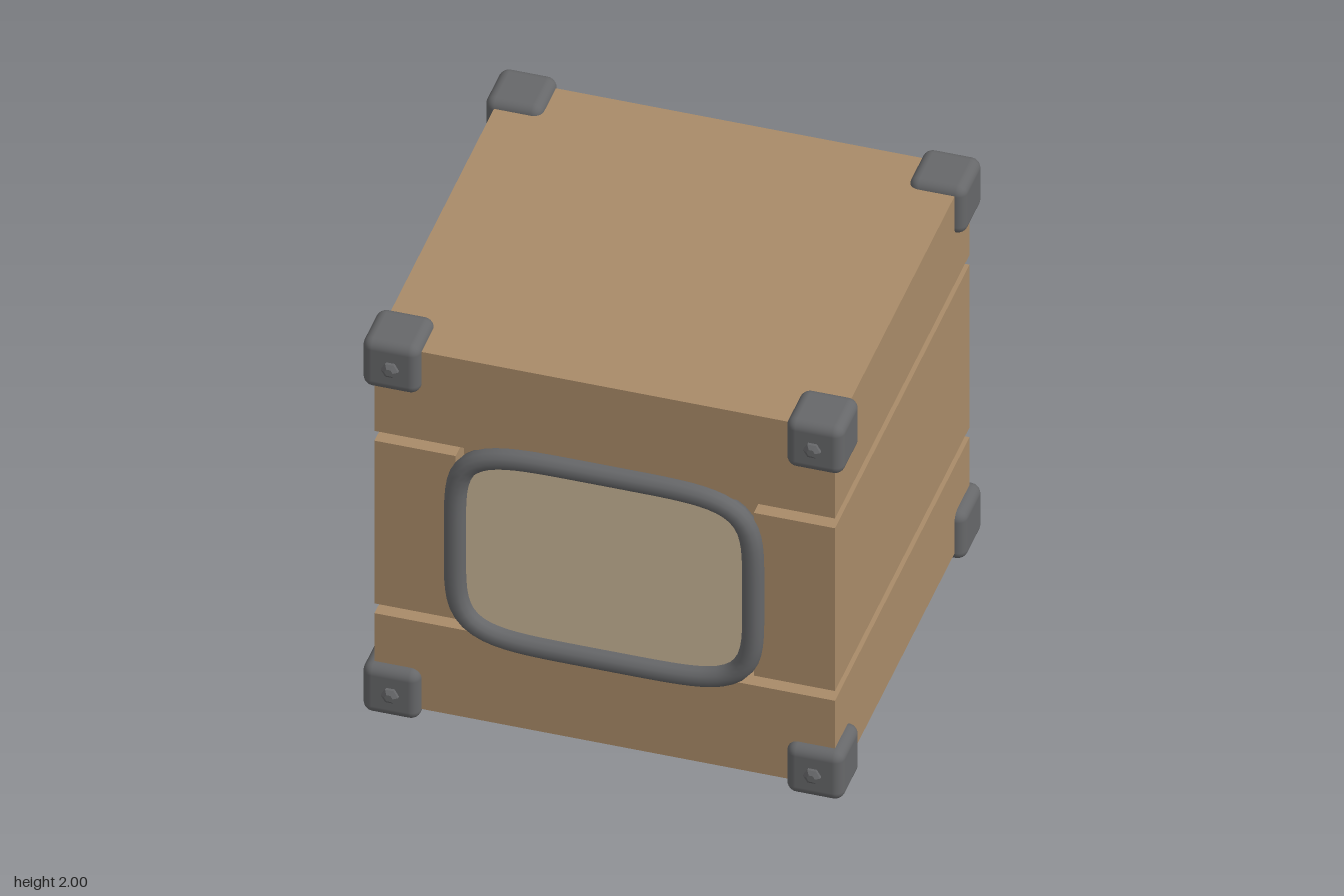
import * as THREE from 'three';
import { RoundedBoxGeometry } from 'three/addons/geometries/RoundedBoxGeometry.js';

const mat = (color, extra = {}) => new THREE.MeshStandardMaterial({ color, ...extra });

// Rounded-rectangle outline (superellipse) sampled by angle
function outline(a, b, n, count) {
  const pts = [];
  for (let i = 0; i < count; i++) {
    const t = (i / count) * Math.PI * 2, c = Math.cos(t), s = Math.sin(t);
    const r = (Math.abs(c / a) ** n + Math.abs(s / b) ** n) ** (-1 / n);
    pts.push(new THREE.Vector2(r * c, r * s));
  }
  return pts;
}

export function createModel() {
  const group = new THREE.Group();
  const wood = mat(0xa98b68), darkWood = mat(0x7d5f4a), metal = mat(0x666769);
  const cloth = mat(0xc8b496, { side: THREE.DoubleSide });

  function add(name, geometry, material, x = 0, y = 0, z = 0) {
    const mesh = new THREE.Mesh(geometry, material);
    mesh.name = name;
    mesh.position.set(x, y, z);
    group.add(mesh);
    return mesh;
  }

  // Upper and lower boards of the crate
  const W = 0.88, D = 0.825;
  add('upperBoard', new THREE.BoxGeometry(2 * W, 0.405, 2 * D), wood, 0, 1.7625, 0);
  add('lowerBoard', new THREE.BoxGeometry(2 * W, 0.4, 2 * D), wood, 0, 0.52, 0);

  // Middle board, with a recess at the front for the window
  const plan = new THREE.Shape([
    [-W, D], [W, D], [W, -D], [0.57, -D], [0.57, -0.72], [-0.57, -0.72], [-0.57, -D], [-W, -D],
  ].map(([x, y]) => new THREE.Vector2(x, y)));
  const middle = new THREE.ExtrudeGeometry(plan, { depth: 0.75, bevelEnabled: false });
  middle.rotateX(-Math.PI / 2);
  add('middleBoard', middle, wood, 0, 0.765, 0);

  // Inner core showing in the two grooves
  add('core', new THREE.BoxGeometry(1.69, 0.86, 1.49), darkWood, 0, 1.14, -0.035);

  // Window panel and its rounded frame
  const panel = new THREE.ShapeGeometry(new THREE.Shape(outline(0.57, 0.425, 5, 72)));
  add('windowPanel', panel, cloth, 0, 1.14, 0.83);
  const path = new THREE.CatmullRomCurve3(
    outline(0.57, 0.425, 5, 72).map((p) => new THREE.Vector3(p.x, p.y, 0)), true);
  add('windowFrame', new THREE.TubeGeometry(path, 96, 0.042, 12, true), metal, 0, 1.14, 0.832);

  // Corner guards with a hexagonal bolt on the front or back
  const guard = new RoundedBoxGeometry(0.22, 0.22, 0.225, 4, 0.04);
  const boltSides = new THREE.CylinderGeometry(0.033, 0.033, 0.03, 6);
  const boltCap = new THREE.CylinderGeometry(0.016, 0.033, 0.012, 6);
  boltCap.translate(0, 0.021, 0);
  const boltMat = mat(0x666769, { flatShading: true });
  for (const g of [boltSides, boltCap]) g.rotateY(Math.PI / 6).rotateX(Math.PI / 2);
  for (const sx of [-1, 1]) for (const y of [0.39, 1.89]) for (const sz of [-1, 1]) {
    add('cornerGuard', guard, metal, sx * 0.81, y, sz * 0.7525);
    for (const [name, g] of [['boltHead', boltSides], ['boltCap', boltCap]]) {
      const bolt = add(name, g, boltMat, sx * 0.807, y, sz * 0.862);
      if (sz < 0) bolt.rotation.y = Math.PI;
    }
  }

  // Flared pedestal under the crate
  const profile = [
    [0, 0], [0.178, 0], [0.19, 0.008], [0.196, 0.025], [0.2, 0.18], [0.204, 0.2],
    [0.222, 0.22], [0.32, 0.285], [0.345, 0.304], [0.352, 0.32], [0, 0.325],
  ].map(([x, y]) => new THREE.Vector2(x, y));
  add('pedestal', new THREE.LatheGeometry(profile, 40), metal);

  return group;
}
